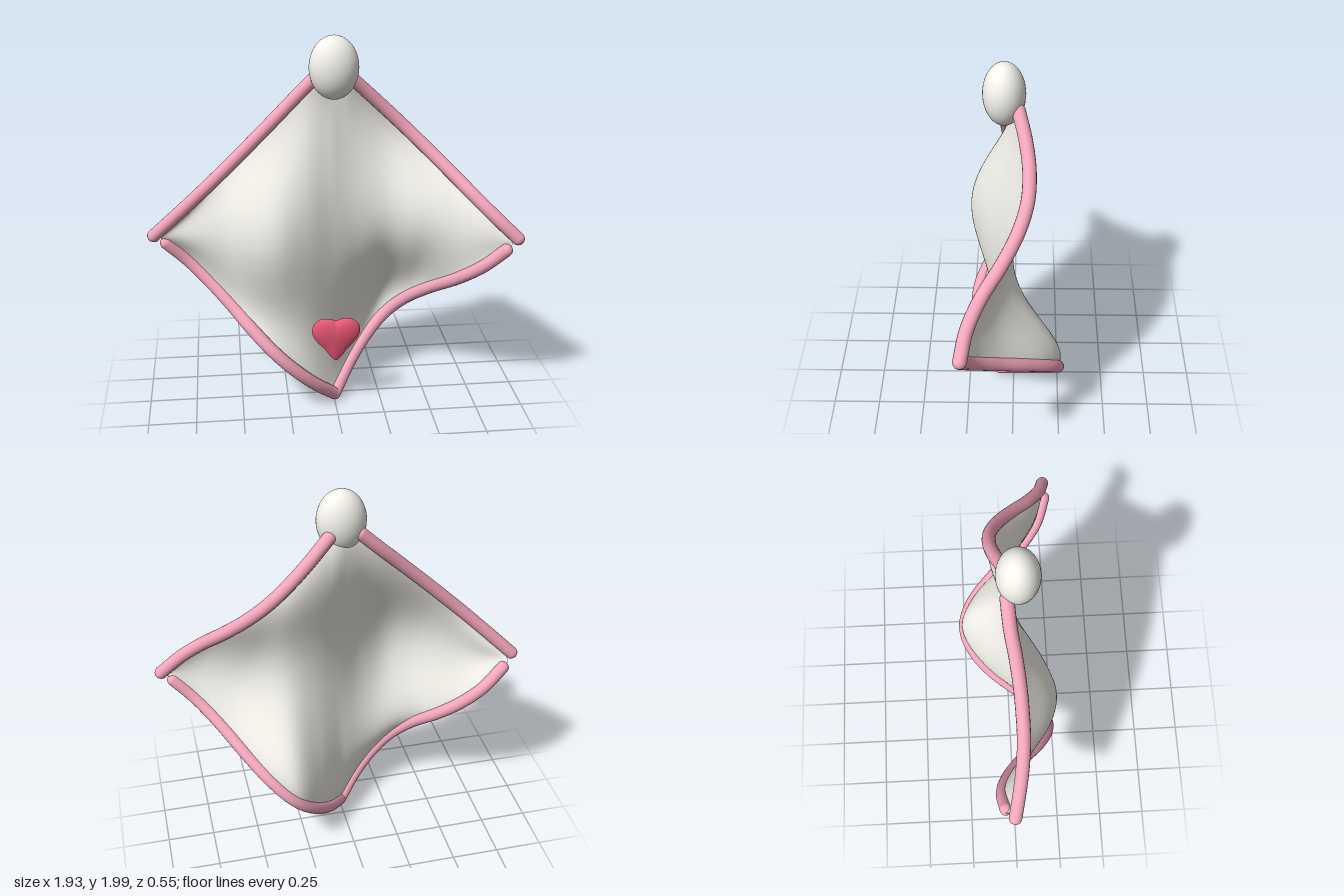
import * as THREE from 'three';
import { mergeVertices } from 'three/addons/utils/BufferGeometryUtils.js';

const cream = new THREE.MeshStandardMaterial({ color: 0xf5f3ec });
const cloth = new THREE.MeshStandardMaterial({ color: 0xf5f3ec, side: THREE.DoubleSide });
const pink = new THREE.MeshStandardMaterial({ color: 0xf4a6bc });
const red = new THREE.MeshStandardMaterial({ color: 0xec5874 });

// Straight in the front plane from (x0, y0) to (x1, y1), waving in z
function waveCurve(x0, y0, x1, y1, zs) {
  const n = zs.length - 1;
  const points = zs.map((z, i) => new THREE.Vector3(
    THREE.MathUtils.lerp(x0, x1, i / n), THREE.MathUtils.lerp(y0, y1, i / n), z));
  return new THREE.CatmullRomCurve3(points, false, 'catmullrom', 0.5);
}

const edges = {
  lowerLeft: waveCurve(0, 0.04, 0.87, 0.91, [0.08, -0.09, -0.2, -0.24, -0.19, -0.07, 0.08, 0.19, 0.24]),
  lowerRight: waveCurve(0, 0.04, -0.87, 0.91, [0.08, 0.165, 0.208, 0.205, 0.145, 0.045, -0.03, -0.068, -0.055]),
  upperLeft: waveCurve(0.075, 1.79, 0.93, 0.97, [-0.025, -0.06, -0.078, -0.07, -0.025, 0.05, 0.14, 0.205, 0.235]),
  upperRight: waveCurve(-0.085, 1.785, -0.93, 0.97, [-0.01, 0, 0.02, 0.035, 0.043, 0.045, 0.035, 0.015, -0.01]),
};

// Waves across the cloth at one, two and three quarters of its height
const waves = [
  [-0.045, -0.03, 0.045, 0.14, 0.165, 0.13, 0.04, -0.08, -0.165, -0.08, 0.07, 0.185, 0.24],
  [-0.04, 0.01, 0.09, 0.195, 0.235, 0.185, 0.095, 0.02, -0.015, 0.04, 0.11, 0.195, 0.24],
  [-0.03, 0.01, 0.08, 0.15, 0.165, 0.115, 0.025, -0.025, -0.03, 0.03, 0.1, 0.19, 0.24],
].map((zs) => waveCurve(-0.9, 0, 0.9, 0, zs));

// Smooth polynomial through evenly spaced values
function blend(values, s) {
  const n = values.length - 1;
  return values.reduce((sum, value, i) => {
    for (let j = 0; j <= n; j++) if (j !== i) value *= (s * n - j) / (i - j);
    return sum + value;
  }, 0);
}

// Rounded piping along one edge
function makePiping(name, curve) {
  const group = new THREE.Group();
  group.name = name;
  const radius = 0.034;
  group.add(new THREE.Mesh(new THREE.TubeGeometry(curve, 64, radius, 16), pink));
  for (const t of [0, 1]) {
    const cap = new THREE.Mesh(new THREE.SphereGeometry(radius, 16, 12), pink);
    cap.position.copy(curve.getPoint(t));
    group.add(cap);
  }
  return group;
}

// Diamond cloth: each upright column passes through both edges and the waves
function makeCloth() {
  const geometry = new THREE.PlaneGeometry(1.8, 1, 80, 48);
  const pos = geometry.attributes.position;
  const zAt = (curve, t) => curve.getPoint(THREE.MathUtils.clamp(t, 0, 1)).z;
  for (let i = 0; i < pos.count; i++) {
    const x = pos.getX(i), s = pos.getY(i) + 0.5, side = Math.abs(x);
    const y = THREE.MathUtils.lerp(0.04 + side, 1.83 - 0.965 * side, s);
    const bottom = zAt(x > 0 ? edges.lowerLeft : edges.lowerRight, side / 0.87);
    const along = (side - 0.08) / 0.85;
    const top = THREE.MathUtils.lerp(zAt(edges.upperRight, along), zAt(edges.upperLeft, along),
      THREE.MathUtils.smoothstep(x, -0.08, 0.08));
    const middle = waves.map((wave) => zAt(wave, x / 1.8 + 0.5));
    pos.setXYZ(i, x, y, blend([bottom, ...middle, top], s));
  }
  geometry.computeVertexNormals();
  const mesh = new THREE.Mesh(geometry, cloth);
  mesh.name = 'clothSheet';
  return mesh;
}

// Puffed heart: a sphere whose rings follow a heart outline, thinner at the tip
function makeHeart() {
  const half = [[0.03, 0.104], [0.08, 0.104], [0.118, 0.075], [0.128, 0.03],
    [0.105, -0.02], [0.06, -0.07], [0.028, -0.115]];
  const outline = new THREE.CatmullRomCurve3([
    [0, 0.094], ...half.map(([x, y]) => [-x, y]), [0, -0.137], ...half.slice().reverse(),
  ].map(([x, y]) => new THREE.Vector3(x, y, 0)), true);
  let geometry = new THREE.SphereGeometry(1, 64, 24);
  const pos = geometry.attributes.position, uv = geometry.attributes.uv;
  for (let i = 0; i < pos.count; i++) {
    const depth = pos.getY(i);
    const ring = Math.sqrt(Math.max(0, 1 - depth * depth));
    const p = outline.getPoint(((uv.getX(i) % 1) + 1) % 1);
    pos.setXYZ(i, p.x * ring, p.y * ring, depth * (0.03 + 0.1 * p.y * ring));
  }
  geometry.deleteAttribute('uv');
  geometry.deleteAttribute('normal');
  geometry = mergeVertices(geometry, 1e-5);
  geometry.computeVertexNormals();
  const mesh = new THREE.Mesh(geometry, red);
  mesh.name = 'heart';
  mesh.position.set(0, 0.42, 0.155);
  return mesh;
}

export function createModel() {
  const model = new THREE.Group();
  model.name = 'heartCloth';
  model.add(makeCloth());
  for (const [name, curve] of Object.entries(edges)) model.add(makePiping(name + 'Piping', curve));
  model.add(makeHeart());

  // Egg-shaped knob at the top corner
  const knob = new THREE.Mesh(new THREE.SphereGeometry(1, 40, 28), cream);
  knob.name = 'topKnob';
  knob.scale.set(0.125, 0.16, 0.105);
  knob.position.set(0, 1.84, 0.045);
  model.add(knob);
  return model;
}
